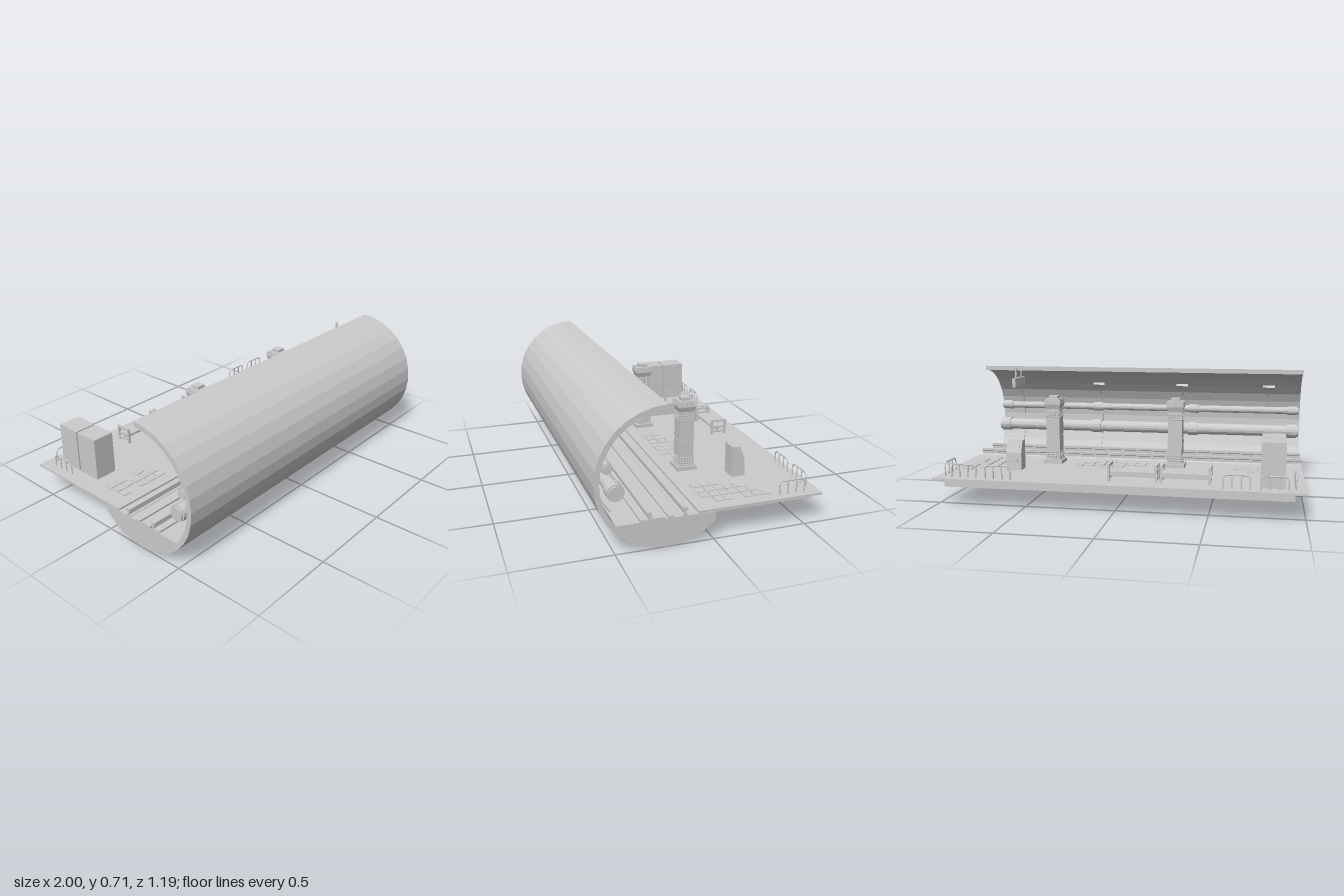
import * as THREE from 'three';

const mat = new THREE.MeshStandardMaterial({ color: 0xcccccc, flatShading: true });
const CZ = 0.24, CY = 0.357, R = 0.357; // tunnel centre and outer radius
const FLOOR = 0.16;                     // top of the platform

export function createModel() {
  const root = new THREE.Group();

  const add = (name, geo, x = 0, y = 0, z = 0, parent = root) => {
    const m = new THREE.Mesh(geo, mat);
    m.name = name;
    m.position.set(x, y, z);
    parent.add(m);
    return m;
  };
  const box = (name, w, h, d, x, y, z, parent) => add(name, new THREE.BoxGeometry(w, h, d), x, y, z, parent);
  const group = (name, x = 0, y = 0, z = 0) => {
    const g = new THREE.Group();
    g.name = name;
    g.position.set(x, y, z);
    root.add(g);
    return g;
  };
  // Sweep a [z, y] section along x, centred on x = 0
  const sweep = (pts, len) => {
    const shape = new THREE.Shape(pts.map(p => new THREE.Vector2(p[0], p[1])));
    const g = new THREE.ExtrudeGeometry(shape, { depth: len, bevelEnabled: false });
    return g.translate(0, 0, -len / 2).rotateY(-Math.PI / 2);
  };
  const arc = (r, from, to, n) => Array.from({ length: n + 1 }, (_, i) => {
    const a = THREE.MathUtils.degToRad(from + (to - from) * i / n);
    return [CZ + r * Math.cos(a), CY + r * Math.sin(a)];
  });
  const tube = (pts, r) => {
    const path = new THREE.CurvePath();
    for (let i = 1; i < pts.length; i++) path.add(new THREE.LineCurve3(pts[i - 1], pts[i]));
    return new THREE.TubeGeometry(path, (pts.length - 1) * 4, r, 6);
  };

  // Tunnel wall and track bed as one section
  add('tunnelShell', sweep([
    ...arc(R, 90, -134, 20),
    [-0.01, 0.147], [0.205, 0.147], [0.205, 0.158], [0.235, 0.158], [0.235, 0.147],
    [0.25, 0.147], [0.25, 0.158], [0.31, 0.158], [0.31, 0.147],
    [0.35, 0.147], [0.35, 0.158], [0.375, 0.158], [0.375, 0.147],
    ...arc(R - 0.027, -39.5, 85, 12), [CZ, CY + R - 0.027],
  ], 2));

  // Running rails
  const railHalf = [[0.016, 0.147], [0.014, 0.152], [0.006, 0.158], [0.006, 0.174], [0.013, 0.178], [0.013, 0.191]];
  for (const z of [0.15, 0.33]) {
    const section = [...railHalf.map(p => [z + p[0], p[1]]), ...[...railHalf].reverse().map(p => [z - p[0], p[1]])];
    add('rail', sweep(section, 2));
  }

  // Platform slab and its inset base
  box('platformSlab', 2, 0.011, 0.675, 0, FLOOR - 0.0055, -0.2575);
  box('platformBase', 1.88, 0.04, 0.56, 0, 0.13, -0.29);

  // Raised floor tiles, in loose patches
  const patches = [
    { x: -0.88, rows: ['11010', '11111', '10111'] },
    { x: -0.07, rows: ['0011111', '1110111', '1111110'] },
    { x: 0.72, rows: ['0001', '0011', '0111', '0110', '1111', '1111', '1110'] },
  ];
  for (const { x, rows } of patches) {
    rows.forEach((row, j) => [...row].forEach((c, i) => {
      if (c === '1') box('floorTile', 0.052, 0.005, 0.043, x + i * 0.061, FLOOR + 0.002, -0.01 - (rows.length - 1 - j) * 0.052);
    }));
  }

  // Pipes with collars along the wall
  const pipe = (name, r, rc, y, z) => {
    const g = group(name, 0, y, z);
    add('pipeRun', new THREE.CylinderGeometry(r, r, 1.98, 16).rotateZ(Math.PI / 2), 0, 0, 0, g);
    for (const x of [-0.95, -0.32, 0.32, 0.95]) {
      add('pipeCollar', new THREE.CylinderGeometry(rc, rc, 0.06, 16).rotateZ(Math.PI / 2), x, 0, 0, g);
    }
  };
  pipe('largePipe', 0.036, 0.044, 0.304, 0.487);
  pipe('smallPipe', 0.022, 0.028, 0.43, 0.527);

  // Wall cables, each ending in a lamp box
  for (const x of [-0.8, -0.25, 0.3, 0.85]) {
    add('wallCable', sweep([...arc(0.32, -41, 45, 12), ...arc(0.313, 45, -41, 12)], 0.012), x);
    const lamp = box('wallLamp', 0.075, 0.035, 0.018, x, 0.578, 0.459);
    lamp.rotation.x = -Math.PI / 4;
  }

  // Hanging sign
  const sign = group('hangingSign', 0.775, 0, 0);
  box('signBoard', 0.02, 0.055, 0.19, 0, 0.616, 0.225, sign);
  for (const z of [0.175, 0.275]) box('signHanger', 0.008, 0.065, 0.009, 0, 0.672, z, sign);

  // Riveted columns; each level is [bottom y, top y, bottom half width, top half width]
  const levels = [
    [0.16, 0.182, 0.057, 0.057], [0.182, 0.19, 0.046, 0.046], [0.19, 0.325, 0.041, 0.041],
    [0.325, 0.331, 0.038, 0.038], [0.331, 0.48, 0.041, 0.041], [0.48, 0.488, 0.044, 0.044],
    [0.488, 0.515, 0.04, 0.049], [0.515, 0.527, 0.049, 0.049], [0.527, 0.532, 0.044, 0.044],
    [0.532, 0.541, 0.049, 0.049], [0.541, 0.548, 0.042, 0.042], [0.548, 0.564, 0.026, 0.026],
  ];
  const rivetGeo = new THREE.SphereGeometry(0.0055, 6, 4);
  for (const x of [-0.27, 0.46]) {
    const col = group('column', x, 0, -0.049);
    for (const [y0, y1, w0, w1] of levels) {
      const geo = new THREE.CylinderGeometry(w1 * Math.SQRT2, w0 * Math.SQRT2, y1 - y0, 4).rotateY(Math.PI / 4);
      add('columnBlock', geo, 0, (y0 + y1) / 2, 0, col);
    }
    for (let side = 0; side < 4; side++) {
      const face = new THREE.Group();
      face.name = 'rivetRows';
      face.rotation.y = side * Math.PI / 2;
      col.add(face);
      for (const y of [0.202, 0.215, 0.228, 0.442, 0.455, 0.468])
        for (let i = -2; i <= 2; i++) add('rivet', rivetGeo, i * 0.016, y, 0.041, face);
    }
  }

  // Two vending machines facing +x
  for (const [z, panelH] of [[-0.29, 0.215], [-0.441, 0.12]]) {
    const g = group('vendingMachine', -0.83, FLOOR, z);
    box('machineBody', 0.125, 0.24, 0.14, 0, 0.12, 0, g);
    box('machineWindow', 0.004, panelH, 0.083, 0.063, 0.228 - panelH / 2, 0.02, g);
    for (const y of [0.205, 0.19, 0.15]) box('machineSlot', 0.006, 0.005, 0.025, 0.063, y, -0.047, g);
    box('machineTray', 0.006, 0.03, 0.07, 0.063, 0.03, 0.015, g);
  }

  // Ticket kiosk with a sloped screen on the -z side
  const kiosk = group('ticketKiosk', 0.63, 0, 0);
  add('kioskBody', sweep([[-0.24, FLOOR], [-0.24, 0.327], [-0.284, 0.327], [-0.31, 0.26], [-0.316, FLOOR]], 0.09), 0, 0, 0, kiosk);
  const screen = box('kioskScreen', 0.06, 0.045, 0.005, 0, 0.296, -0.297, kiosk);
  screen.rotation.x = Math.atan2(0.026, 0.067);
  box('kioskTray', 0.05, 0.02, 0.006, 0, 0.215, -0.314, kiosk);

  // Benches with framed ends
  for (const x of [-0.375, -0.09]) {
    const g = group('bench', x, FLOOR, -0.442);
    box('benchSeat', 0.26, 0.014, 0.08, 0, 0.045, 0, g);
    box('benchBeam', 0.26, 0.022, 0.012, 0, 0.028, 0, g);
    for (const s of [-1, 1]) {
      for (const t of [-1, 1]) box('benchLeg', 0.014, 0.085, 0.012, s * 0.128, 0.0425, t * 0.042, g);
      box('benchArm', 0.014, 0.012, 0.096, s * 0.128, 0.086, 0, g);
      box('benchStretcher', 0.014, 0.012, 0.08, s * 0.128, 0.02, 0, g);
    }
  }

  // Guard rails round the platform edge
  const guard = (x, z, turn) => {
    const g = group('guardRail', x, FLOOR, z);
    g.rotation.y = turn;
    const w = 0.07, h = 0.073, c = 0.014;
    const v = (a, b) => new THREE.Vector3(a, b, 0);
    add('guardFrame', tube([v(-w, 0), v(-w, h - c), v(c - w, h), v(w - c, h), v(w, h - c), v(w, 0)], 0.004), 0, 0, 0, g);
    for (const p of [-0.024, 0.024]) add('guardPost', new THREE.CylinderGeometry(0.004, 0.004, h, 6), p, h / 2, 0, g);
  };
  for (const x of [-0.838, -0.645, 0.64, 0.833]) guard(x, -0.552, 0);
  for (const x of [-0.945, 0.957]) guard(x, -0.443, Math.PI / 2);

  return root;
}
